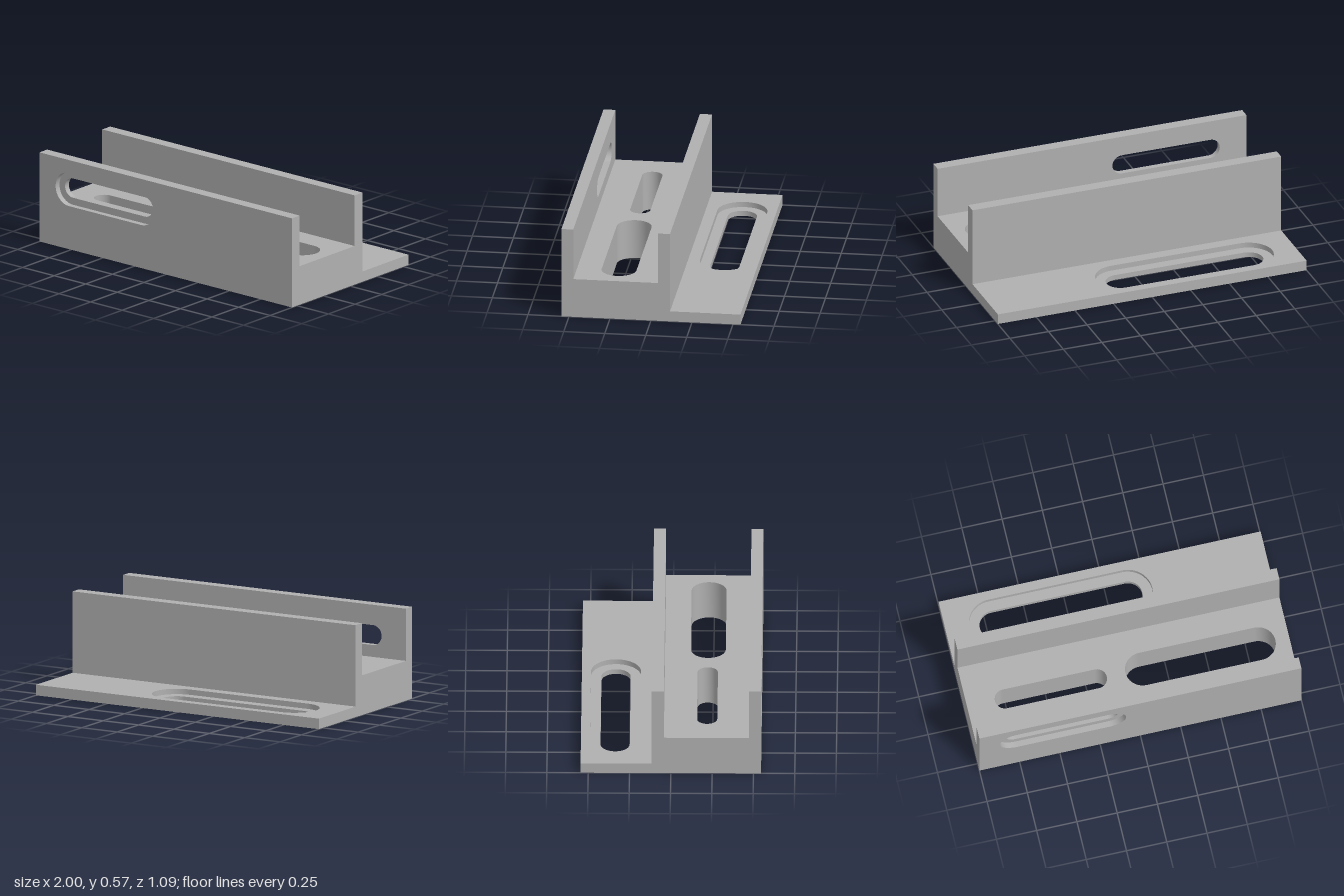
import * as THREE from 'three';

// Slot outline: straight sides from x0 to x1 (arc centres), mid-height c, radius r
function slotPoints({ x0, x1, c, r }, n = 24) {
  const pts = [];
  for (const [cx, start] of [[x1, -Math.PI / 2], [x0, Math.PI / 2]]) {
    for (let i = 0; i <= n; i++) {
      const a = start + (Math.PI * i) / n;
      pts.push(new THREE.Vector2(cx + r * Math.cos(a), c + r * Math.sin(a)));
    }
  }
  return pts;
}

// Reverse facing of an indexed geometry
function flip(geo) {
  const ix = geo.index.array;
  for (let i = 0; i < ix.length; i += 3) [ix[i], ix[i + 1]] = [ix[i + 1], ix[i]];
  geo.computeVertexNormals();
  return geo;
}

// Flat face at depth z from an outline, with slot holes
function face(outline, holes, z, flipped) {
  const shape = new THREE.Shape(outline);
  for (const h of holes) shape.holes.push(new THREE.Path(slotPoints(h).reverse()));
  const geo = new THREE.ShapeGeometry(shape);
  if (flipped) flip(geo);
  return geo.translate(0, 0, z);
}

// Inward-facing wall of a slot between two depths
function slotWall(slot, lo, hi) {
  const pts = slotPoints(slot), n = pts.length, pos = [], idx = [];
  for (const p of pts) pos.push(p.x, p.y, lo, p.x, p.y, hi);
  for (let i = 0; i < n; i++) {
    const a = 2 * i, b = 2 * ((i + 1) % n);
    idx.push(a, b + 1, b, a, a + 1, b + 1);
  }
  const geo = new THREE.BufferGeometry();
  geo.setAttribute('position', new THREE.Float32BufferAttribute(pos, 3));
  geo.setIndex(idx);
  geo.computeVertexNormals();
  return geo;
}

const rect = (v0, v1) => [[-1, v0], [1, v0], [1, v1], [-1, v1]].map(p => new THREE.Vector2(...p));

export function createModel() {
  const model = new THREE.Group();
  model.name = 'slottedChannel';
  const metal = new THREE.MeshStandardMaterial({ color: 0xb0b0b0, side: THREE.DoubleSide });
  metal.name = 'plain grey';

  // Section: depths (z) and heights (y)
  const F = 0.546, FI = 0.474, BI = -0.042, B = -0.116, R = -0.546;
  const TOP = 0.567, FLOOR = 0.245, LEDGE = 0.065;

  const upright = new THREE.Group();
  upright.name = 'uprightFaces';
  const level = new THREE.Group(); // local y is -z, local z is up
  level.name = 'levelFaces';
  level.rotation.x = -Math.PI / 2;
  const ends = new THREE.Group();
  ends.name = 'endFaces';
  ends.rotation.y = -Math.PI / 2;
  model.add(upright, level, ends);

  const add = (group, name, geo) => {
    const mesh = new THREE.Mesh(geo, metal);
    mesh.name = name;
    group.add(mesh);
  };

  // Slots; the level ones use c = -z
  const window = { x0: -0.766, x1: -0.194, c: 0.38, r: 0.0615 };
  const windowRecess = { ...window, r: 0.106 };
  const smallSlot = { x0: -0.766, x1: -0.194, c: -0.218, r: 0.0615 };
  const largeSlot = { x0: 0.089, x1: 0.808, c: -0.219, r: 0.106 };
  const ledgeSlot = { x0: -0.704, x1: 0.128, c: 0.339, r: 0.0885 };
  const ledgeRecess = { ...ledgeSlot, r: 0.152 };
  const windowStep = 0.51, ledgeStep = 0.032;

  // Front wall with its recessed window
  add(upright, 'frontWallOutside', face(rect(0, TOP), [windowRecess], F));
  add(upright, 'frontWallInside', face(rect(FLOOR, TOP), [window], FI, true));
  add(upright, 'windowStep', face(slotPoints(windowRecess), [window], windowStep));
  add(upright, 'windowRecessWall', slotWall(windowRecess, windowStep, F));
  add(upright, 'windowWall', slotWall(window, FI, windowStep));

  // Middle wall and rear edge
  add(upright, 'middleWallFront', face(rect(FLOOR, TOP), [], BI));
  add(upright, 'middleWallBack', face(rect(LEDGE, TOP), [], B, true));
  add(upright, 'ledgeEdge', face(rect(0, LEDGE), [], R, true));

  // Channel floor, wall tops and underside
  add(level, 'frontWallTop', face(rect(-F, -FI), [], TOP));
  add(level, 'middleWallTop', face(rect(-BI, -B), [], TOP));
  add(level, 'channelFloor', face(rect(-FI, -BI), [smallSlot, largeSlot], FLOOR));
  add(level, 'underside', face(rect(-F, -R), [smallSlot, largeSlot, ledgeSlot], 0, true));
  add(level, 'smallSlotWall', slotWall(smallSlot, 0, FLOOR));
  add(level, 'largeSlotWall', slotWall(largeSlot, 0, FLOOR));

  // Rear ledge with its recessed slot
  add(level, 'ledgeTop', face(rect(-B, -R), [ledgeRecess], LEDGE));
  add(level, 'ledgeStep', face(slotPoints(ledgeRecess), [ledgeSlot], ledgeStep));
  add(level, 'ledgeRecessWall', slotWall(ledgeRecess, ledgeStep, LEDGE));
  add(level, 'ledgeSlotWall', slotWall(ledgeSlot, 0, ledgeStep));

  // End profiles
  const profile = [
    [R, 0], [F, 0], [F, TOP], [FI, TOP], [FI, FLOOR],
    [BI, FLOOR], [BI, TOP], [B, TOP], [B, LEDGE], [R, LEDGE],
  ].map(p => new THREE.Vector2(...p));
  add(ends, 'rightEnd', face(profile, [], 1));
  add(ends, 'leftEnd', face(profile, [], -1, true));

  return model;
}
